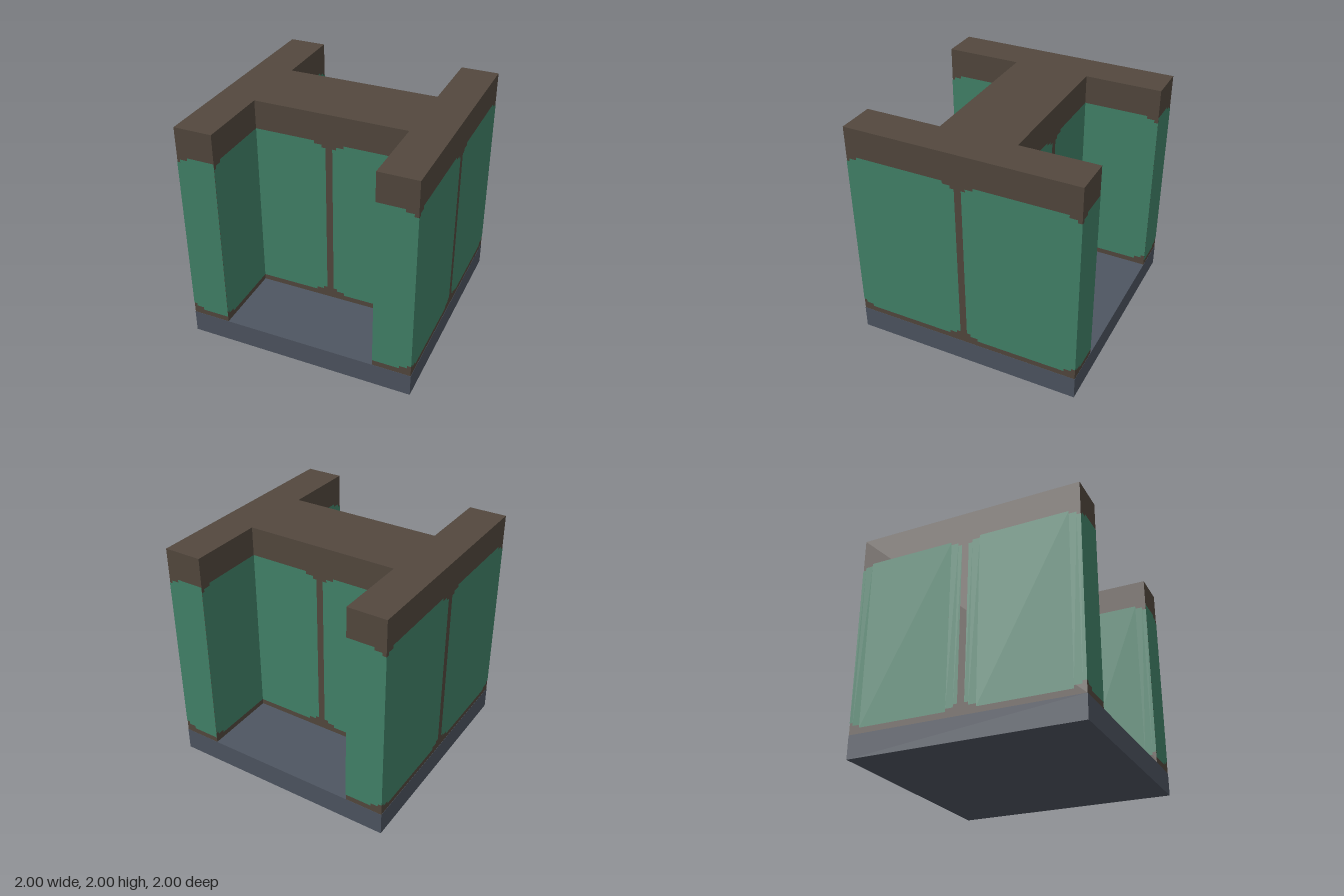
import * as THREE from 'three';
import { mergeGeometries } from 'three/addons/utils/BufferGeometryUtils.js';

const material = (name, color) => {
  const m = new THREE.MeshStandardMaterial({ color });
  m.name = name;
  return m;
};

// Panel columns across a wall: [start, end, inset at top and bottom]
const COLUMNS = [
  [-1, -0.972, 0.05], [-0.972, -0.907, 0.025], [-0.907, -0.135, 0], [-0.135, -0.07, 0.025], [-0.07, -0.035, 0.05],
  [0.025, 0.06, 0.05], [0.06, 0.125, 0.025], [0.125, 0.9, 0], [0.9, 0.965, 0.025], [0.965, 1, 0.05],
];

// Green panels of one wall, clipped to the wall's extent a..b, at distance d
function panelGeometry(a, b, d) {
  const strips = [];
  for (const [start, end, inset] of COLUMNS) {
    const u0 = Math.max(a, start), u1 = Math.min(b, end);
    if (u1 <= u0) continue;
    strips.push(new THREE.PlaneGeometry(u1 - u0, 1.5 - 2 * inset).translate((u0 + u1) / 2, 1, d));
  }
  return mergeGeometries(strips);
}

export function createModel() {
  const slate = material('slate', 0x4e5561);
  const brown = material('brown', 0x53483e);
  const green = material('green', 0x428369);
  const group = new THREE.Group();
  const add = (name, geometry, mat) => {
    const mesh = new THREE.Mesh(geometry, mat);
    mesh.name = name;
    group.add(mesh);
    return mesh;
  };

  // Square base slab
  add('base', new THREE.BoxGeometry(2, 0.2, 2).translate(0, 0.1, 0), slate);

  // H-shaped body; outer walls sit just behind the panels
  const W = 0.998, X = 0.667, Z = 0.333, T = 0.002;
  const plan = new THREE.Shape([
    [-W, -W], [-X, -W], [-X, -Z], [X, -Z], [X, -W], [W, -W],
    [W, W], [X, W], [X, Z], [-X, Z], [-X, W], [-W, W],
  ].map(([x, y]) => new THREE.Vector2(x, y)));
  const body = new THREE.ExtrudeGeometry(plan, { depth: 1.8, bevelEnabled: false });
  add('body', body.rotateX(-Math.PI / 2).translate(0, 0.2, 0), brown);

  // Panels: each set is repeated on the opposite side by a half turn
  for (const turn of [0, Math.PI]) {
    const wall = (name, a, b, d, angle) => {
      add(name, panelGeometry(a, b, d), green).rotation.y = angle + turn;
    };
    wall('wingEndPanel', -1, -X, 1, 0);
    wall('wingEndPanel', X, 1, 1, 0);
    wall('bridgePanel', -X, X, Z + T, 0);
    wall('outerWingPanel', -1, 1, 1, Math.PI / 2);
    wall('innerWingPanel', -1, -Z, -X + T, Math.PI / 2);
    wall('innerWingPanel', Z, 1, -X + T, Math.PI / 2);
  }
  return group;
}
